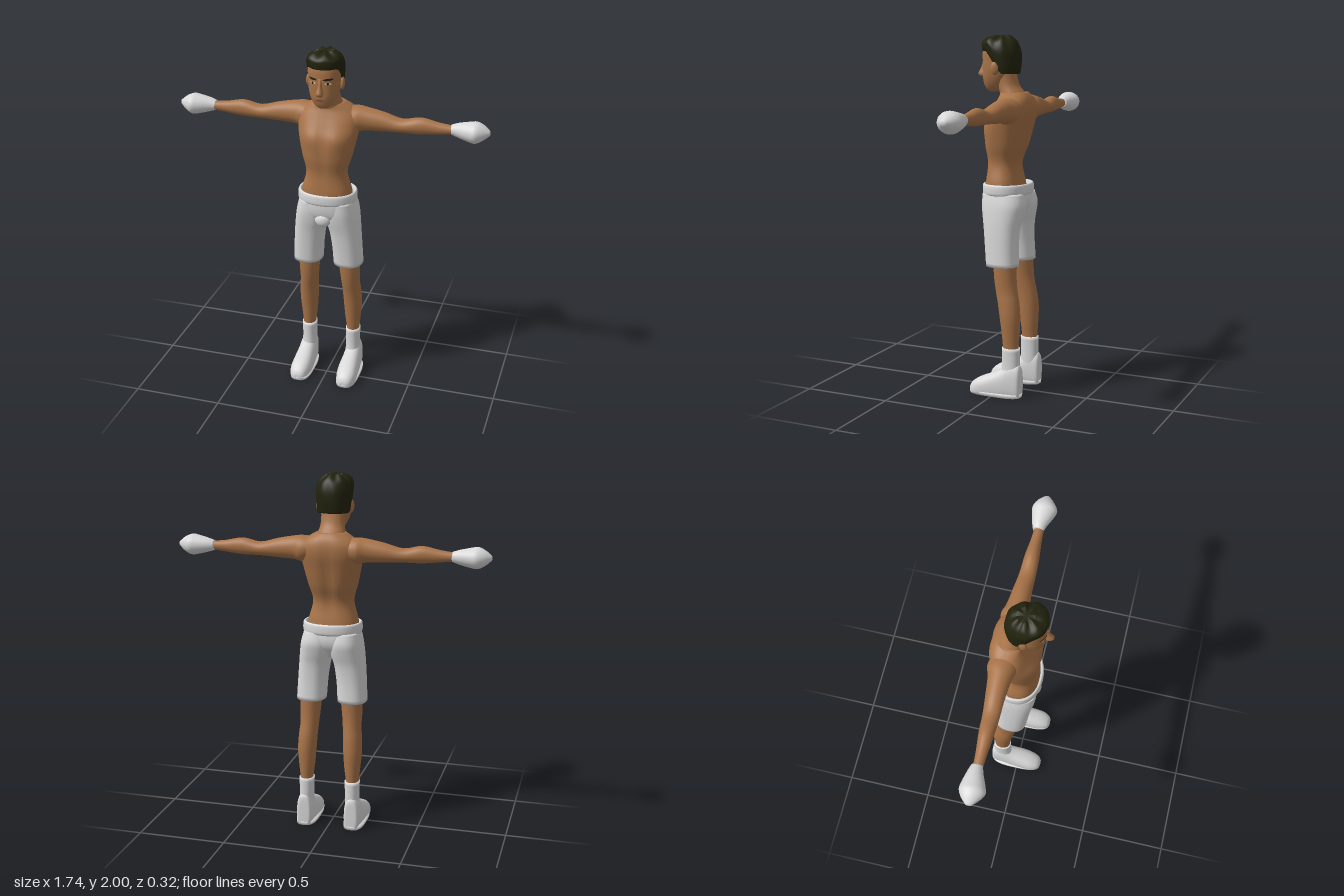
import * as THREE from 'three';

const material = (name, color, side = THREE.FrontSide) => {
  const m = new THREE.MeshStandardMaterial({ color, side });
  m.name = name;
  return m;
};

// Smoothly interpolate a value between four neighbouring rows
const catmull = (a, b, c, d, t) =>
  b + 0.5 * t * (c - a + t * (2 * a - 5 * b + 4 * c - d + t * (3 * (b - c) + d - a)));

// Skin over rounded cross-sections. Each row is [p, uMin, uMax, vMin, vMax]:
// axis y uses (u, v) = (z, x), axis x uses (y, z), axis z uses (x, y).
function loft(axis, rows, { n = 2.2, seg = 32, sub = 4, caps = true, warp } = {}) {
  const order = { x: ['x', 'y', 'z'], y: ['y', 'z', 'x'], z: ['z', 'x', 'y'] }[axis];
  const row = (i) => rows[Math.max(0, Math.min(rows.length - 1, i))];
  const rings = [];
  for (let i = 0; i < rows.length - 1; i++) {
    for (let s = 0; s < sub; s++) {
      rings.push(row(i).map((_, k) =>
        catmull(row(i - 1)[k], row(i)[k], row(i + 1)[k], row(i + 2)[k], s / sub)));
    }
  }
  rings.push(rows[rows.length - 1]);

  const pos = [], index = [];
  const put = (p, u, v) => {
    const w = new THREE.Vector3();
    w[order[0]] = p; w[order[1]] = u; w[order[2]] = v;
    if (warp) warp(w);
    pos.push(w.x, w.y, w.z);
  };
  const power = (c) => Math.sign(c) * Math.abs(c) ** (2 / n);
  for (const [p, u0, u1, v0, v1] of rings) {
    for (let j = 0; j < seg; j++) {
      const t = (j / seg) * Math.PI * 2;
      put(p, (u0 + u1) / 2 + (u1 - u0) / 2 * power(Math.cos(t)),
        (v0 + v1) / 2 + (v1 - v0) / 2 * power(Math.sin(t)));
    }
  }
  for (let i = 0; i < rings.length - 1; i++) {
    for (let j = 0; j < seg; j++) {
      const a = i * seg + j, b = i * seg + (j + 1) % seg;
      index.push(a, b, a + seg, b, b + seg, a + seg);
    }
  }
  const cap = (i, top) => {
    const [p, u0, u1, v0, v1] = rings[i], center = pos.length / 3;
    put(p, (u0 + u1) / 2, (v0 + v1) / 2);
    for (let j = 0; j < seg; j++) {
      const a = i * seg + j, b = i * seg + (j + 1) % seg;
      index.push(center, top ? a : b, top ? b : a);
    }
  };
  if (caps) { cap(0, false); cap(rings.length - 1, true); }
  const g = new THREE.BufferGeometry();
  g.setAttribute('position', new THREE.Float32BufferAttribute(pos, 3));
  g.setIndex(index);
  g.computeVertexNormals();
  return g;
}

function mirrored(geometry) {
  const g = geometry.clone().scale(-1, 1, 1), ix = g.index;
  for (let i = 0; i < ix.count; i += 3) {
    const a = ix.getX(i);
    ix.setX(i, ix.getX(i + 1));
    ix.setX(i + 1, a);
  }
  g.computeVertexNormals();
  return g;
}

export function createModel() {
  const model = new THREE.Group();
  const skin = material('skin', 0xa87348);
  const white = material('white cloth', 0xd8d8d8, THREE.DoubleSide);
  const hair = material('dark hair', 0x22220e, THREE.DoubleSide);
  const eyeWhite = material('eye white', 0xcfc8bc, THREE.DoubleSide);
  const lip = material('lips', 0x7d4c36, THREE.DoubleSide);

  const add = (name, g, m) => {
    const mesh = new THREE.Mesh(g, m);
    mesh.name = name;
    model.add(mesh);
  };
  const pair = (name, g, m) => {
    add('left' + name, g, m);
    add('right' + name, mirrored(g), m);
  };

  // Torso with chest muscles, a breastbone crease and a spine groove
  const bump = (x, y, cx, cy, rx, ry) =>
    Math.exp(-(((x - cx) / rx) ** 2) - ((y - cy) / ry) ** 2);
  add('torso', loft('y', [
    [1.10, -.12, .09, -.14, .14], [1.19, -.105, .09, -.14, .14],
    [1.30, -.09, .082, -.114, .114], [1.40, -.125, .095, -.138, .138],
    [1.50, -.15, .088, -.16, .16], [1.57, -.165, .058, -.172, .172],
    [1.62, -.165, .033, -.168, .168], [1.66, -.153, .015, -.13, .13],
    [1.69, -.13, .012, -.08, .08],
  ], {
    n: 2.4, seg: 48, sub: 5,
    warp: (p) => {
      const side = Math.abs(p.x);
      if (p.z > 0) p.z += .012 * bump(side, p.y, .075, 1.51, .05, .06) - .006 * bump(p.x, p.y, 0, 1.45, .015, .15);
      else if (p.z < -.06) p.z += .014 * bump(p.x, p.y, 0, 1.44, .028, .16);
    },
  }), skin);

  // Neck and head
  add('neck', loft('y', [
    [1.62, -.14, .0, -.09, .09], [1.68, -.118, .018, -.076, .076],
    [1.73, -.08, .03, -.066, .066], [1.80, -.06, .04, -.066, .066],
  ]), skin);
  add('head', loft('y', [
    [1.692, .035, .09, -.025, .025], [1.71, .0, .108, -.048, .048],
    [1.75, -.03, .12, -.071, .071], [1.80, -.06, .122, -.085, .085],
    [1.86, -.073, .124, -.089, .089], [1.92, -.075, .118, -.089, .089],
    [1.97, -.05, .085, -.06, .06],
  ], { n: 2.3, seg: 40 }), skin);
  add('nose', loft('y', [
    [1.767, .1, .13, -.012, .012], [1.785, .1, .16, -.02, .02],
    [1.82, .1, .144, -.012, .012], [1.865, .1, .127, -.01, .01],
  ], { seg: 16 }), skin);
  pair('Ear', new THREE.SphereGeometry(1, 16, 12).scale(.014, .037, .024)
    .rotateY(.3).translate(.091, 1.822, .018), skin);

  // Face details curve along the front of the head
  const plate = (x, y, w, h, lift, tilt = 0) => {
    const g = new THREE.CircleGeometry(1, 20).scale(w, h, 1).rotateZ(tilt).translate(x, y, 0);
    const p = g.attributes.position;
    for (let i = 0; i < p.count; i++) {
      const r = Math.abs(p.getX(i) / .088) ** 2.3;
      p.setZ(i, .026 + .097 * (1 - Math.min(r, 1)) ** (1 / 2.3) + lift);
    }
    g.computeVertexNormals();
    return g;
  };
  pair('Eye', plate(.041, 1.84, .017, .007, .002), eyeWhite);
  pair('Iris', plate(.041, 1.84, .007, .007, .004), hair);
  pair('Brow', plate(.042, 1.862, .025, .006, .003, .08), hair);
  add('mouth', plate(0, 1.745, .026, .006, .001), lip);

  // Hair cap: the hairline rises from the nape to the forehead
  add('hair', loft('y', [
    [0, -.083, .125, -.094, .094], [.3, -.09, .128, -.099, .099],
    [.6, -.088, .124, -.1, .1], [.85, -.068, .1, -.08, .08], [1, -.03, .06, -.04, .04],
  ], {
    seg: 64, n: 2.2, sub: 6,
    warp: (p) => {
      const line = 1.79 + .125 * THREE.MathUtils.smoothstep(p.z, -.03, .09);
      const angle = Math.atan2(p.x, p.z - .02);
      const wave = 1 + .025 * Math.sin(9 * angle + 4 * p.y) * p.y;
      p.set(p.x * wave, line + p.y * (1.993 - line) + .006 * p.y * Math.sin(7 * angle), .02 + (p.z - .02) * wave);
    },
  }), hair);

  // Outstretched arms and gloves
  pair('Arm', loft('x', [
    [.08, 1.55, 1.66, -.14, 0], [.15, 1.525, 1.668, -.153, 0],
    [.20, 1.535, 1.664, -.137, -.013], [.30, 1.54, 1.645, -.125, -.023],
    [.40, 1.545, 1.62, -.115, -.026], [.50, 1.545, 1.638, -.11, -.03],
    [.60, 1.555, 1.62, -.1, -.04], [.69, 1.565, 1.61, -.095, -.045],
  ], { n: 2 }), skin);
  pair('Glove', loft('x', [
    [.665, 1.562, 1.615, -.103, -.045], [.70, 1.55, 1.627, -.115, -.035],
    [.76, 1.535, 1.64, -.13, -.01], [.80, 1.53, 1.645, -.135, 0],
    [.84, 1.55, 1.628, -.115, -.025], [.872, 1.578, 1.602, -.083, -.055],
  ], { n: 2 }), white);

  // Shorts: waistband with an inner wall, hips and two leg tubes
  add('waistband', loft('y', [
    [1.128, -.145, .1, -.155, .155], [1.14, -.155, .11, -.165, .165],
    [1.178, -.155, .11, -.165, .165], [1.19, -.148, .103, -.158, .158],
    [1.185, -.138, .097, -.148, .148], [1.15, -.13, .09, -.142, .142],
  ], { seg: 40, caps: false }), white);
  add('shortsHips', loft('y', [
    [.995, -.09, .05, -.12, .12], [1.05, -.135, .088, -.168, .168],
    [1.10, -.148, .1, -.163, .163], [1.155, -.14, .1, -.155, .155],
  ], { n: 2.4 }), white);
  add('shortsFront', new THREE.SphereGeometry(1, 20, 14).scale(.045, .04, .03).translate(0, 1.035, .075), white);
  pair('ShortsLeg', loft('y', [
    [.74, -.13, .05, .036, .2], [.85, -.125, .06, .029, .194],
    [.95, -.13, .072, .014, .187], [1.02, -.146, .085, -.008, .18],
    [1.08, -.156, .092, -.01, .171], [1.14, -.14, .09, .0, .155],
  ], { n: 2.4 }), white);

  // Lower legs, socks and shoes
  pair('Leg', loft('y', [
    [.20, -.14, -.055, .1, .167], [.28, -.142, -.052, .097, .17],
    [.36, -.147, -.045, .087, .178], [.45, -.15, -.033, .08, .185],
    [.53, -.143, -.02, .076, .182], [.60, -.13, -.005, .071, .176],
    [.67, -.122, .005, .064, .178], [.80, -.12, .015, .05, .18],
  ], { n: 2 }), skin);
  pair('Sock', loft('y', [
    [.10, -.15, -.035, .092, .178], [.18, -.15, -.046, .093, .174], [.28, -.149, -.046, .091, .175],
  ]), white);
  pair('Shoe', loft('z', [
    [-.16, .11, .165, .005, .15], [-.15, .097, .18, -.03, .183],
    [-.10, .09, .187, -.03, .188], [-.04, .085, .192, -.03, .148],
    [.03, .08, .197, -.03, .117], [.09, .085, .197, -.03, .09],
    [.13, .1, .182, -.02, .062], [.145, .12, .16, .005, .035],
  ], { n: 2.4, warp: (p) => { p.y = Math.max(p.y, .004); } }), white);
  pair('Sole', loft('y', [
    [0, -.161, .143, .079, .199], [.02, -.162, .146, .078, .2],
  ], { n: 3, sub: 1 }), white);

  return model;
}
